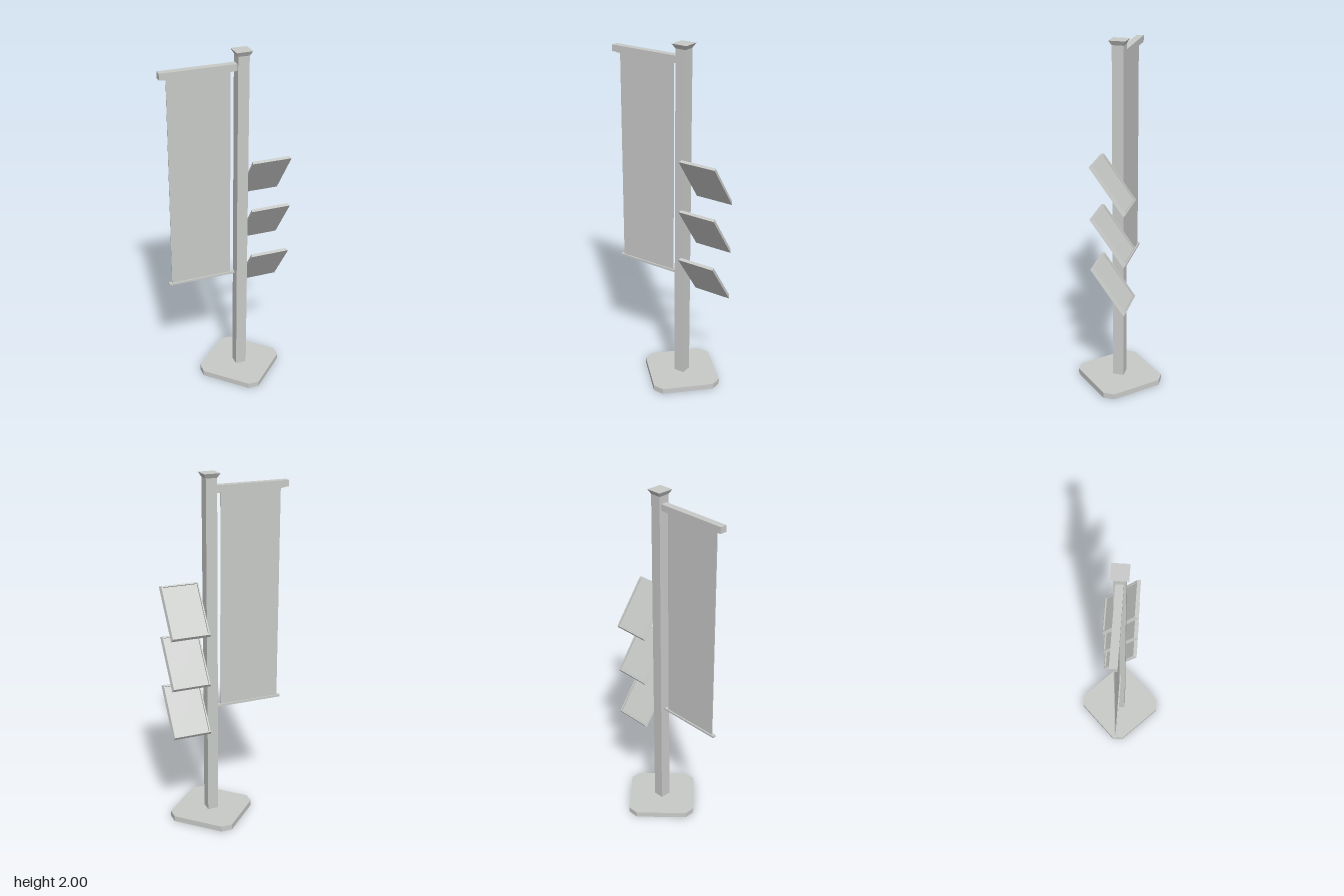
import * as THREE from 'three';

const grey = new THREE.MeshStandardMaterial({ color: 0xc8cac8, flatShading: true });
grey.name = 'light grey metal';

function add(parent, name, geometry, x = 0, y = 0, z = 0) {
  const mesh = new THREE.Mesh(geometry, grey);
  mesh.name = name;
  mesh.position.set(x, y, z);
  parent.add(mesh);
  return mesh;
}

// Tray facing +z: flared outer wall, narrow rim and recessed floor, from rectangular loops
function trayGeometry(width, height, depth) {
  const loops = [[0, -depth / 2], [0.007, depth / 2], [0.014, depth / 2], [0.014, 0]]; // inset, z
  const points = [];
  for (const [inset, z] of loops) {
    const w = width / 2 - inset, h = height / 2 - inset;
    points.push(-w, -h, z, w, -h, z, w, h, z, -w, h, z);
  }
  const index = [0, 2, 1, 0, 3, 2];
  for (let r = 0; r < loops.length - 1; r++) {
    for (let i = 0; i < 4; i++) {
      const a = r * 4 + i, b = r * 4 + (i + 1) % 4;
      index.push(a, b, b + 4, a, b + 4, a + 4);
    }
  }
  const f = (loops.length - 1) * 4;
  index.push(f, f + 1, f + 2, f, f + 2, f + 3);
  const geometry = new THREE.BufferGeometry();
  geometry.setAttribute('position', new THREE.Float32BufferAttribute(points, 3));
  geometry.setIndex(index);
  const flat = geometry.toNonIndexed();
  flat.computeVertexNormals();
  return flat;
}

export function createModel() {
  const model = new THREE.Group();
  model.name = 'displayStand';
  const stand = new THREE.Group();
  stand.name = 'stand';
  stand.position.set(0.093, 0, -0.001);
  stand.rotation.y = -0.056;
  model.add(stand);

  // Diamond base plate with clipped corners
  const R = 0.241, c = 0.032;
  const outline = [];
  for (let i = 0; i < 4; i++) {
    for (const s of [-c, c]) {
      outline.push(new THREE.Vector2(R, s).rotateAround(new THREE.Vector2(), i * Math.PI / 2));
    }
  }
  const base = new THREE.ExtrudeGeometry(new THREE.Shape(outline), { depth: 0.032, bevelEnabled: false });
  base.rotateX(-Math.PI / 2);
  add(stand, 'base', base);

  // Square post with flared cap
  add(stand, 'post', new THREE.BoxGeometry(0.063, 1.945, 0.063), 0, 1.0035, 0);
  const cap = new THREE.CylinderGeometry(0.091 * Math.SQRT1_2, 0.063 * Math.SQRT1_2, 0.025, 4, 1);
  cap.rotateY(Math.PI / 4);
  add(stand, 'postCap', cap, 0, 1.9875, 0);

  // Banner hung from a side arm
  add(stand, 'bannerArm', new THREE.BoxGeometry(0.42, 0.036, 0.04), -0.241, 1.916, 0);
  add(stand, 'banner', new THREE.BoxGeometry(0.349, 1.22, 0.004), -0.2365, 1.287, 0);
  for (const [name, y] of [['bannerTopRail', 1.898], ['bannerBottomRail', 0.677]]) {
    add(stand, name, new THREE.BoxGeometry(0.392, 0.012, 0.02), -0.233, y, 0);
  }

  // Three tilted leaflet trays
  const tray = trayGeometry(0.226, 0.317, 0.02);
  for (let i = 0; i < 3; i++) {
    add(stand, 'tray' + (i + 1), tray, 0.146, 0.686 + i * 0.29, -0.006).rotation.x = 0.62 - Math.PI;
  }
  return model;
}
